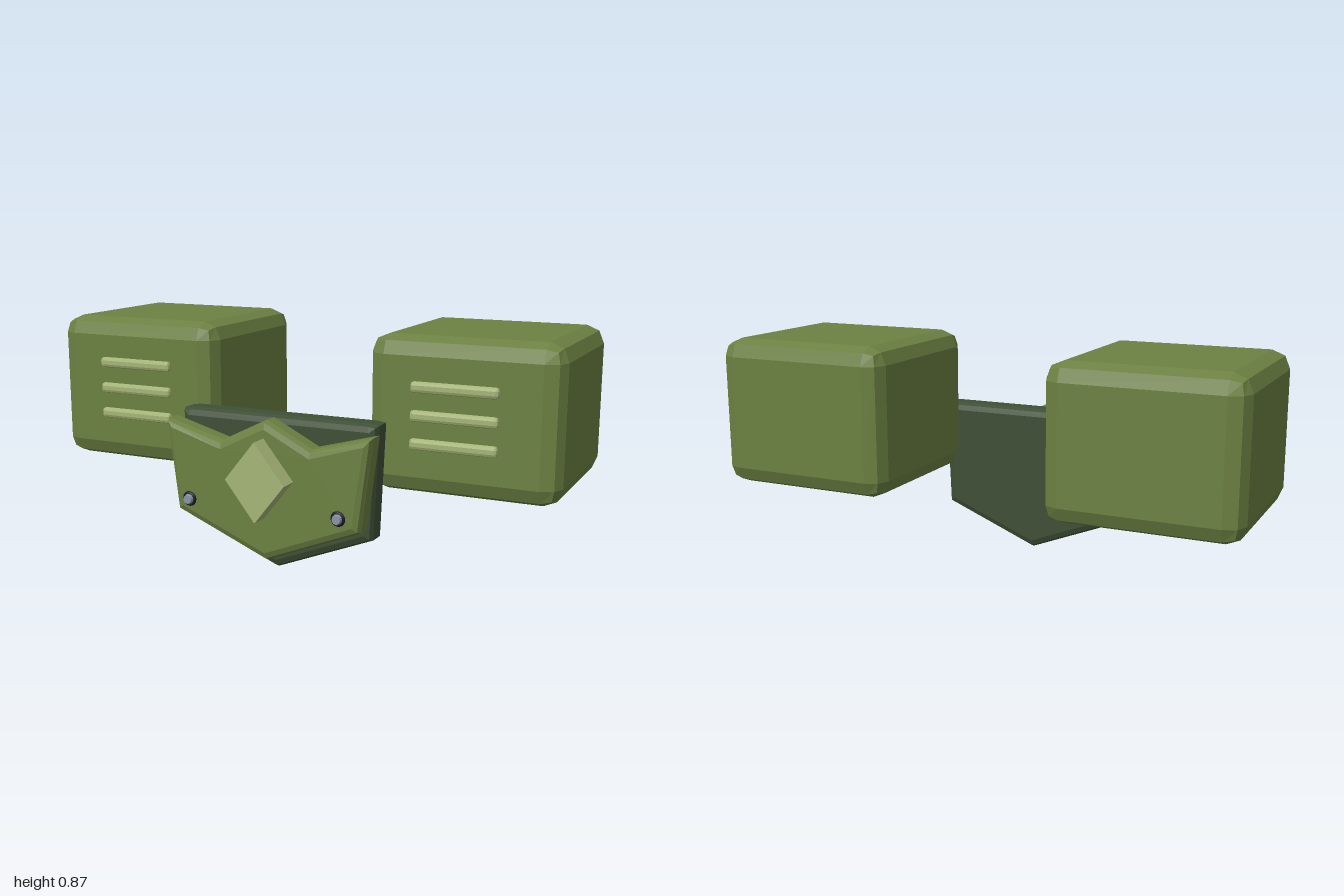
import * as THREE from 'three';
import { RoundedBoxGeometry } from 'three/addons/geometries/RoundedBoxGeometry.js';

const mat = (name, color) => {
  const m = new THREE.MeshStandardMaterial({ color });
  m.name = name;
  return m;
};

export function createModel() {
  const green = mat('olive green', 0x6c8142);
  const darkGreen = mat('dark green', 0x3f4f36);
  const lightGreen = mat('light green', 0xa5b577);
  const black = mat('rivet black', 0x181b24);
  const steel = mat('rivet steel', 0x8a94a8);
  const model = new THREE.Group();

  const add = (name, geometry, material, x = 0, y = 0, z = 0) => {
    const mesh = new THREE.Mesh(geometry, material);
    mesh.name = name;
    mesh.position.set(x, y, z);
    model.add(mesh);
    return mesh;
  };

  // Block with faceted rounded edges; its flat faces sit at 0.905 of the radius
  const block = (w, h, d, r) => {
    const e = 0.19 * r;
    const g = new RoundedBoxGeometry(w + e, h + e, d + e, 1, r);
    g.computeVertexNormals();
    return g;
  };

  // Symmetric bevelled plate from its right half outline, listed top to bottom
  const plate = (half, z0, z1, bevel) => {
    const pts = half.map(([x, y]) => new THREE.Vector2(x, y));
    const mirrored = half.filter(([x]) => x > 0).reverse()
      .map(([x, y]) => new THREE.Vector2(-x, y));
    const g = new THREE.ExtrudeGeometry(new THREE.Shape([...pts, ...mirrored]), {
      depth: z1 - z0 - 2 * bevel, bevelEnabled: true, bevelThickness: bevel,
      bevelSize: bevel, bevelOffset: -bevel, bevelSegments: 2,
    });
    g.translate(0, 0, z0 + bevel);
    return g;
  };

  // Shoulder blocks, their vents and the rivets
  for (const [side, s] of [['left', 1], ['right', -1]]) {
    add(side + 'ShoulderBlock', block(0.682, 0.545, 0.655, 0.066), green, s * 0.659, 0.593, -0.127);
    for (const y of [0.503, 0.602, 0.702])
      add(side + 'Vent', block(0.312, 0.037, 0.026, 0.012), lightGreen, s * 0.643, y, 0.222);
    add(side + 'RivetRing', new THREE.TorusGeometry(0.021, 0.007, 6, 16), black, s * 0.298, 0.255, 0.402);
    const stud = add(side + 'RivetStud', new THREE.CylinderGeometry(0.016, 0.021, 0.02, 12), steel, s * 0.298, 0.255, 0.41);
    stud.rotation.x = Math.PI / 2;
  }

  // Chest plates
  add('backPlate', plate([[0.36, 0.57], [0.393, 0.565], [0.375, 0.15], [0, 0]],
    0.18, 0.295, 0.028), darkGreen);
  add('frontPlate', plate([[0, 0.568], [0.18, 0.478], [0.408, 0.54], [0.366, 0.2], [0, 0.052]],
    0.275, 0.383, 0.028), green);

  // Diamond badge
  const diamond = new THREE.Shape([[0, 0.505], [-0.117, 0.36], [0, 0.213], [0.117, 0.36]]
    .map(([x, y]) => new THREE.Vector2(x, y)));
  add('diamondBadge', new THREE.ExtrudeGeometry(diamond, { depth: 0.075, bevelEnabled: false }),
    lightGreen, 0, 0, 0.38);

  return model;
}
